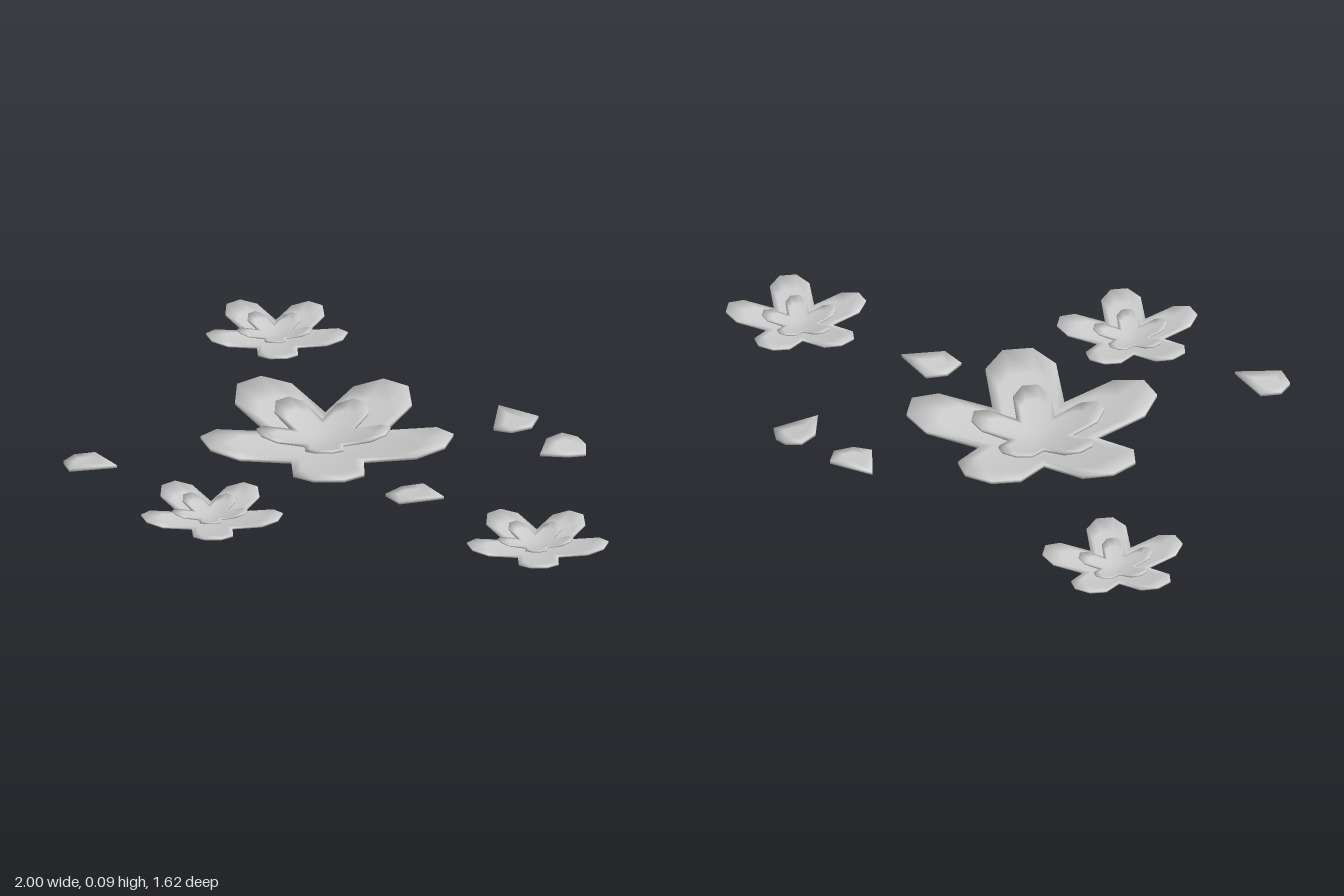
import * as THREE from 'three';

const material = new THREE.MeshStandardMaterial({ color: 0xcccccc, side: THREE.DoubleSide });
const THICK = 0.01;

// Thin curved plate: concentric rings of an [x, z] outline, lifted by height(x, z).
// Top, rim and underside share their edge vertices, so the edge shades softly.
function plate(outline, height, rings) {
  const n = outline.length;
  const cx = outline.reduce((s, p) => s + p[0], 0) / n;
  const cz = outline.reduce((s, p) => s + p[1], 0) / n;
  const pos = [], index = [];
  const add = (k, i, lift) => {
    const x = cx + (outline[i][0] - cx) * k, z = cz + (outline[i][1] - cz) * k;
    pos.push(x, height(x, z) + lift, z);
  };
  // top and underside
  for (const lift of [THICK, 0]) {
    const base = pos.length / 3;
    const tri = (a, b, c) => (lift ? index.push(a, b, c) : index.push(a, c, b));
    add(0, 0, lift);
    for (let r = 1; r <= rings; r++) for (let i = 0; i < n; i++) add(r / rings, i, lift);
    for (let i = 0; i < n; i++) {
      const j = (i + 1) % n;
      tri(base, base + 1 + i, base + 1 + j);
      for (let r = 1; r < rings; r++) {
        const a = base + 1 + (r - 1) * n, b = a + n;
        tri(a + i, b + i, b + j);
        tri(a + i, b + j, a + j);
      }
    }
  }
  // rim
  const top = 1 + (rings - 1) * n, low = top + 1 + rings * n;
  for (let i = 0; i < n; i++) {
    const j = (i + 1) % n;
    index.push(low + i, low + j, top + j, low + i, top + j, top + i);
  }
  const geo = new THREE.BufferGeometry();
  geo.setAttribute('position', new THREE.Float32BufferAttribute(pos, 3));
  geo.setIndex(index);
  geo.computeVertexNormals();
  // lean the edge normals outward
  const normal = geo.attributes.normal, v = new THREE.Vector3(), out = new THREE.Vector3();
  for (let i = 0; i < n; i++) {
    const a = outline[(i + n - 1) % n], b = outline[(i + 1) % n];
    out.set(a[1] - b[1], 0, b[0] - a[0]).normalize();
    for (const k of [top + i, low + i]) {
      v.fromBufferAttribute(normal, k).addScaledVector(out, 0.8).normalize();
      normal.setXYZ(k, v.x, v.y, v.z);
    }
  }
  return geo;
}

// Five blunt petals joined at notches; the back petal is slightly shorter.
function blossomGeometry() {
  const outline = [];
  for (let k = 0; k < 5; k++) {
    const a = Math.PI + k * Math.PI * 0.4;
    const tip = k === 0 ? 0.386 : 0.406;
    const profile = [[-0.115, 0.158], [-0.113, tip - 0.075], [-0.048, tip], [0.048, tip], [0.113, tip - 0.075]];
    for (const [w, r] of profile) {
      outline.push([r * Math.sin(a) + w * Math.cos(a), r * Math.cos(a) - w * Math.sin(a)]);
    }
  }
  return plate(outline, (x, z) => 0.075 * Math.pow(Math.hypot(x, z) / 0.406, 1.6), 4);
}

export function createModel() {
  const model = new THREE.Group();
  const blossom = blossomGeometry();

  // Blossoms: a wide outer layer with a smaller cup inside
  const flowers = [
    ['largeFlower', -0.2, -0.045, 1, 0],
    ['backFlower', -0.776, -0.597, 0.56, 0.004],
    ['leftFlower', 0.774, 0.186, 0.56, 0.004],
    ['frontFlower', -0.191, 0.606, 0.56, 0.004],
  ];
  for (const [name, x, z, s, y] of flowers) {
    const flower = new THREE.Group();
    flower.name = name;
    const outer = new THREE.Mesh(blossom, material);
    outer.name = 'outerPetals';
    const inner = new THREE.Mesh(blossom, material);
    inner.name = 'innerPetals';
    inner.scale.set(0.53, 0.75, 0.53);
    inner.position.set(-0.02, 0.019, -0.01);
    flower.add(outer, inner);
    flower.scale.setScalar(s);
    flower.position.set(x, y, z);
    model.add(flower);
  }

  // Loose petals: outline, then base height and slopes along x and z
  const loose = [
    [[[0.13, -0.525], [0.2, -0.395], [0.26, -0.41], [0.3, -0.465], [0.28, -0.53]], 0.036, 0.03, -0.06],
    [[[0.44, -0.31], [0.505, -0.375], [0.54, -0.42], [0.505, -0.47], [0.46, -0.49], [0.41, -0.475], [0.395, -0.41]], 0.034, -0.12, 0],
    [[[0.25, 0.065], [0.2, 0.115], [0.19, 0.19], [0.265, 0.22], [0.37, 0.125]], 0.032, 0.06, 0],
    [[[-0.61, 0.53], [-0.735, 0.47], [-0.785, 0.515], [-0.785, 0.575], [-0.73, 0.62]], 0.032, 0.06, 0],
  ];
  loose.forEach(([outline, y, sx, sz], i) => {
    const [cx, cz] = [0, 1].map((c) => outline.reduce((s, p) => s + p[c], 0) / outline.length);
    const bend = (x, z) => y + sx * (x - cx) + sz * (z - cz) + 0.5 * ((x - cx) ** 2 + (z - cz) ** 2);
    const petal = new THREE.Mesh(plate(outline, bend, 2), material);
    petal.name = `loosePetal${i + 1}`;
    model.add(petal);
  });
  return model;
}
